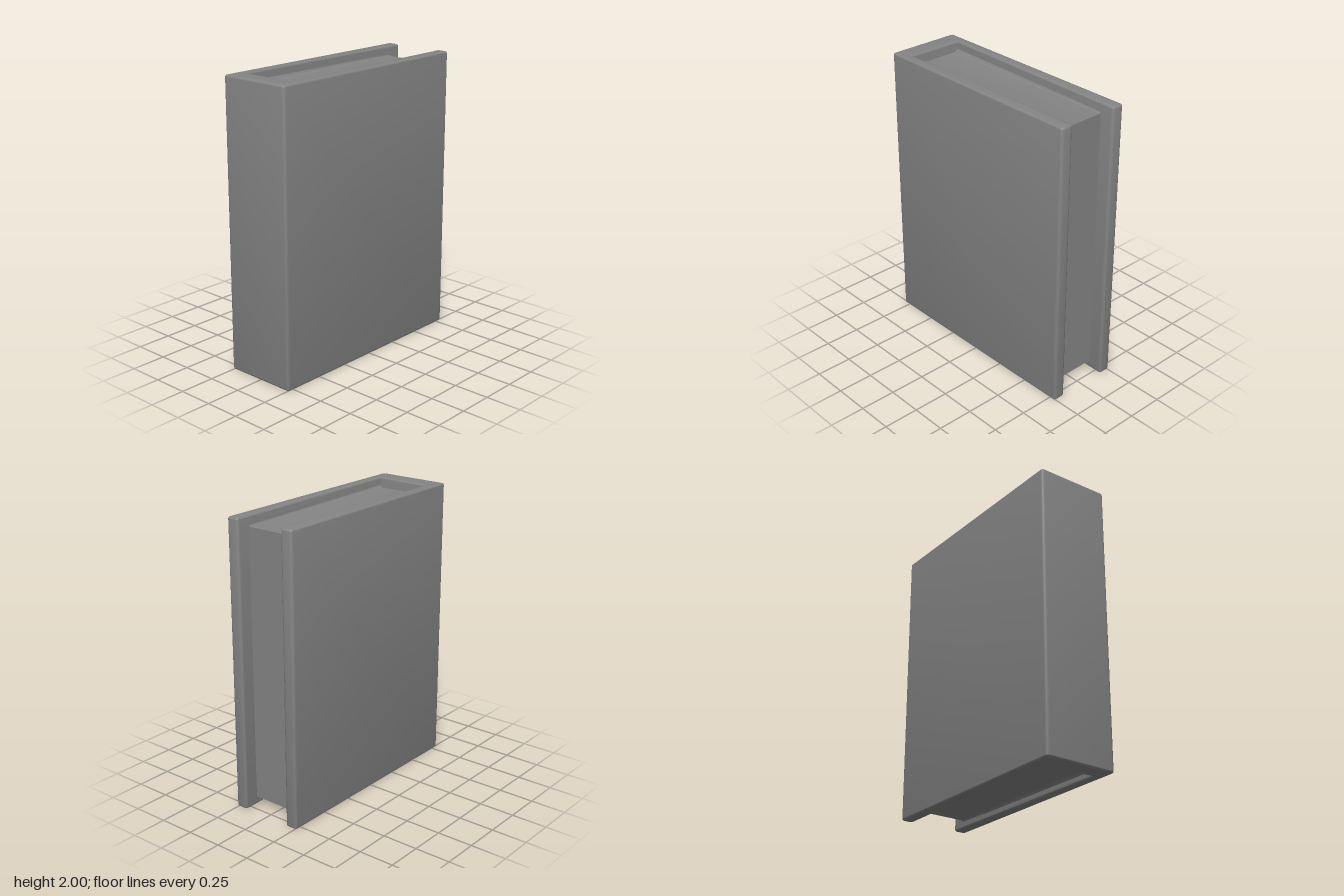
import * as THREE from 'three';
import { toCreasedNormals } from 'three/addons/utils/BufferGeometryUtils.js';

const HEIGHT = 2, BEVEL = 0.014;
const SPINE_X = -0.667, PAGE_X = 0.697; // inner face of the spine, fore edge of the pages

// Closed outline from [x, y, cornerRadius] points
function roundedOutline(points) {
  const shape = new THREE.Shape();
  const n = points.length;
  points.forEach(([x, y, r], i) => {
    const p = new THREE.Vector2(x, y);
    const toward = ([qx, qy]) => new THREE.Vector2(qx, qy).sub(p).setLength(r).add(p);
    const a = toward(points[(i + n - 1) % n]);
    const b = toward(points[(i + 1) % n]);
    if (i === 0) shape.moveTo(a.x, a.y);
    else shape.lineTo(a.x, a.y);
    if (r > 0) shape.quadraticCurveTo(x, y, b.x, b.y);
  });
  shape.closePath();
  return shape;
}

// U-shaped plan (spine and two boards), walls thickening toward the fore edge
function coverGeometry() {
  const r = 0.022;
  const plan = roundedOutline([
    [-0.8, -0.262, r], [0.8, -0.262, r], [0.8, -0.174, r], [SPINE_X, -0.194, 0],
    [SPINE_X, 0.194, 0], [0.8, 0.174, r], [0.8, 0.262, r], [-0.8, 0.262, r],
  ]);
  const geometry = new THREE.ExtrudeGeometry(plan, {
    depth: HEIGHT - 2 * BEVEL, curveSegments: 4,
    bevelEnabled: true, bevelThickness: BEVEL, bevelSize: BEVEL, bevelOffset: -BEVEL, bevelSegments: 3,
  });
  geometry.rotateX(-Math.PI / 2).translate(0, BEVEL, 0);
  return toCreasedNormals(geometry, 0.6);
}

// Page block: its ends curl up to the boards, and its sides widen toward the spine
function pagesGeometry() {
  const flat = 0.168, side = 0.178, bottom = 0.056, top = 1.928;
  const section = new THREE.Shape([
    [-flat, bottom], [flat, bottom], [0.174, bottom - 0.005], [side, bottom - 0.018],
    [side, top + 0.018], [0.174, top + 0.005], [flat, top],
    [-flat, top], [-0.174, top + 0.005], [-side, top + 0.018],
    [-side, bottom - 0.018], [-0.174, bottom - 0.005],
  ].map(([z, y]) => new THREE.Vector2(z, y)));
  const geometry = new THREE.ExtrudeGeometry(section, { depth: PAGE_X - SPINE_X + 0.01, bevelEnabled: false });
  geometry.rotateY(Math.PI / 2).translate(SPINE_X - 0.01, 0, 0);
  const position = geometry.attributes.position;
  for (let i = 0; i < position.count; i++) {
    const z = position.getZ(i);
    const widening = position.getX(i) < 0 ? 2.7 : 1;
    const beyond = Math.max(0, Math.abs(z) - flat);
    position.setZ(i, Math.sign(z) * (Math.abs(z) - beyond + beyond * widening));
  }
  return toCreasedNormals(geometry, 0.6);
}

export function createModel() {
  const book = new THREE.Group();
  book.name = 'book';
  const material = new THREE.MeshStandardMaterial({ color: 0x848484 });

  const cover = new THREE.Mesh(coverGeometry(), material);
  cover.name = 'cover';
  const pages = new THREE.Mesh(pagesGeometry(), material);
  pages.name = 'pages';
  book.add(cover, pages);
  return book;
}
